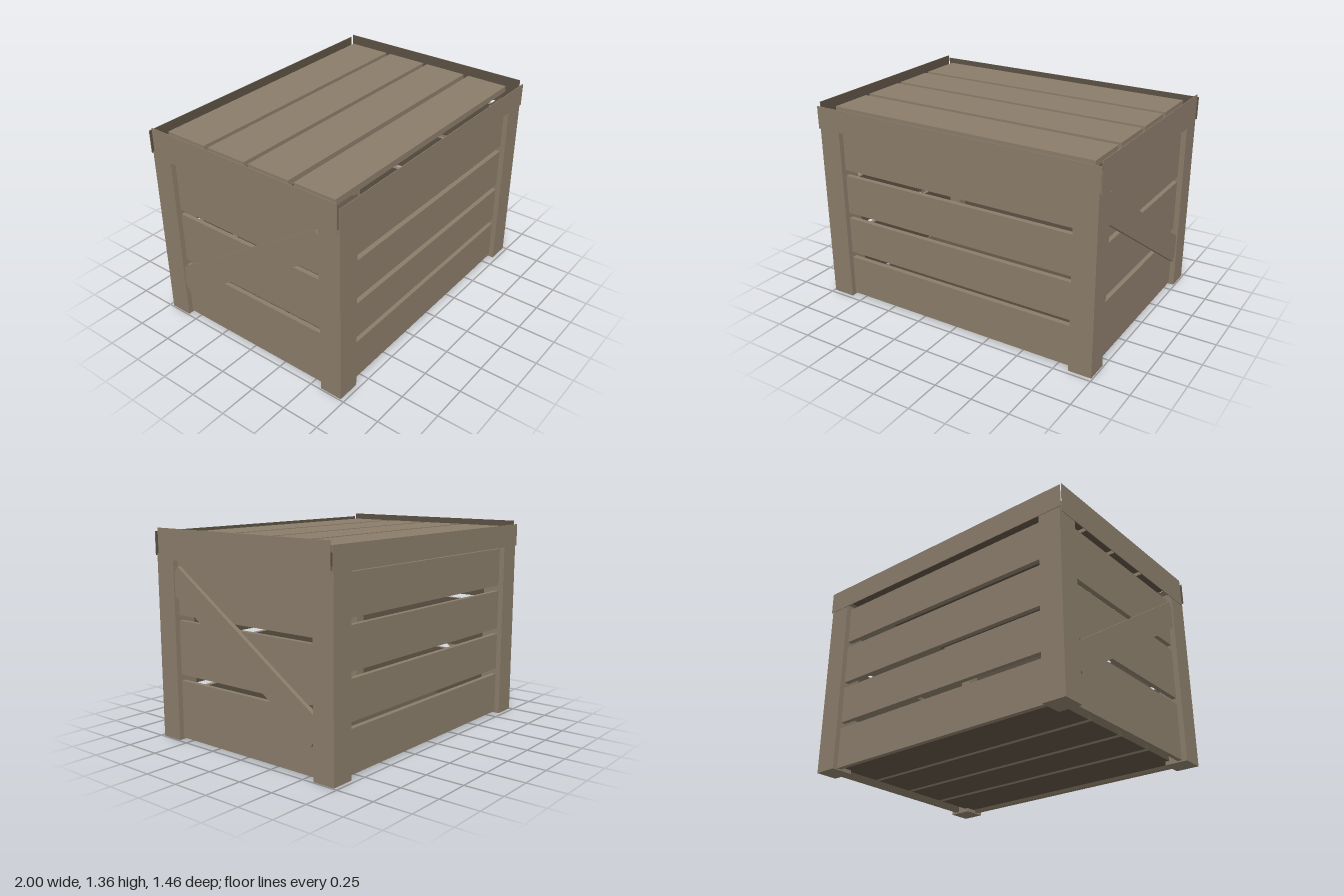
import * as THREE from 'three';

const wood = new THREE.MeshStandardMaterial({ color: 0x8a7c6a });
wood.name = 'wood';
const innerWood = new THREE.MeshStandardMaterial({ color: 0x5c5244 });
innerWood.name = 'dark inner wood';

// BoxGeometry face order: +x, -x, +y, -y, +z, -z
const FACES = ['+x', '-x', '+y', '-y', '+z', '-z'];

// Board spanning [x0,x1] x [y0,y1] x [z0,z1]; the listed faces are dark
function board(name, [x0, x1], [y0, y1], [z0, z1], darkFaces = []) {
  const mesh = new THREE.Mesh(
    new THREE.BoxGeometry(x1 - x0, y1 - y0, z1 - z0),
    FACES.map((f) => (darkFaces.includes(f) ? innerWood : wood))
  );
  mesh.position.set((x0 + x1) / 2, (y0 + y1) / 2, (z0 + z1) / 2);
  mesh.name = name;
  return mesh;
}

// Range lying between distances a < b on the given side of the centre
const side = (s, a, b) => (s > 0 ? [a, b] : [-b, -a]);

function createModel() {
  const crate = new THREE.Group();
  crate.name = 'crate';

  // Long walls (four planks) and their top rails
  const longRows = [[0.01, 0.285], [0.325, 0.575], [0.615, 0.88], [0.92, 1.175]];
  for (const s of [1, -1]) {
    const label = s > 0 ? 'front' : 'back';
    const inside = s > 0 ? ['-z'] : ['+z'];
    for (const row of longRows)
      crate.add(board(label + 'Plank', [-0.9, 0.9], row, side(s, 0.655, 0.688), inside));
    crate.add(board(label + 'Rail', [-1, 1], [1.187, 1.337], side(s, 0.724, 0.728), inside));
  }

  // End walls (three planks), rails and diagonal braces
  const endRows = [[0.01, 0.39], [0.43, 0.78], [0.815, 1.16]];
  for (const s of [1, -1]) {
    const label = s > 0 ? 'left' : 'right';
    const inside = s > 0 ? ['-x'] : ['+x'];
    for (const row of endRows)
      crate.add(board(label + 'Plank', side(s, 0.925, 0.955), row, [-0.64, 0.64], inside));
    crate.add(board(label + 'Rail', side(s, 0.992, 0.996), [1.165, 1.36], [-0.705, 0.705], inside));

    const brace = board(label + 'Brace', side(s, 0.95, 0.982), [0.575, 0.746], [-0.712, 0.712]);
    brace.rotation.x = -0.587;
    crate.add(brace);
  }

  // Corner posts
  for (const sx of [1, -1])
    for (const sz of [1, -1])
      crate.add(board('cornerPost', side(sx, 0.838, 0.991), [0, 1.2], side(sz, 0.573, 0.723), ['+y']));

  // Lid slats
  for (const z of [[-0.645, -0.34], [-0.308, -0.02], [0.012, 0.313], [0.35, 0.64]])
    crate.add(board('lidSlat', [-0.922, 0.922], [1.285, 1.325], z, ['-y']));

  // Floor slats
  for (const z of [[-0.64, -0.33], [-0.3, -0.02], [0.012, 0.29], [0.325, 0.64]])
    crate.add(board('floorSlat', [-0.865, 0.865], [0.025, 0.055], z, FACES));

  return crate;
}

export { createModel };
